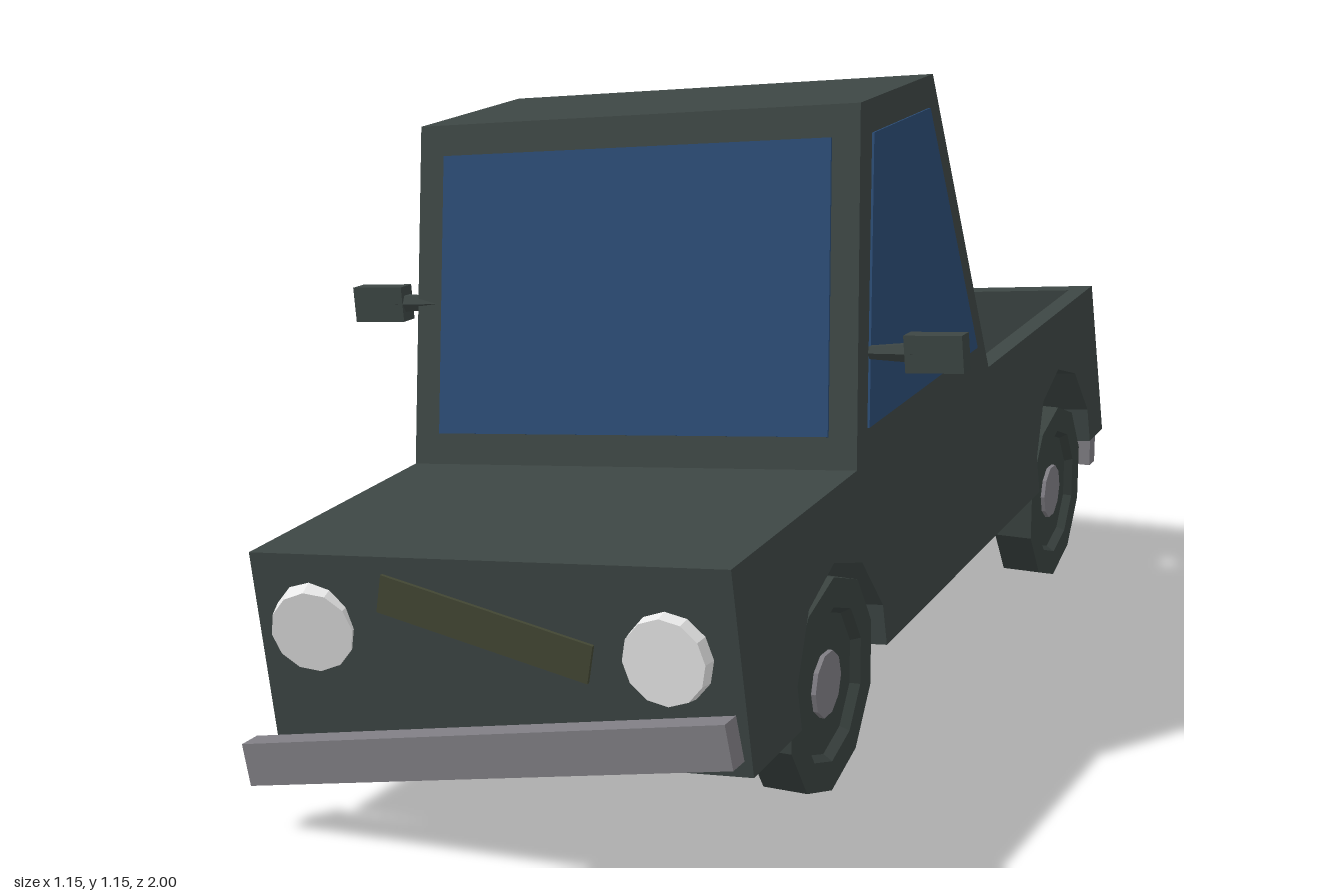
import * as THREE from 'three';

const mat = (name, color) => Object.assign(new THREE.MeshStandardMaterial({ color, flatShading: true }), { name });

export function createModel() {
  const paint = mat('dark green grey paint', 0x3c4543);
  const rubber = mat('tyre rubber', 0x39423f);
  const glass = mat('blue glass', 0x2a4a72);
  const metal = mat('bumper grey', 0x7f7d83);
  const lamp = mat('lamp white', 0xeeeeee);
  const olive = mat('olive trim', 0x434734);

  const truck = new THREE.Group();
  truck.name = 'pickupTruck';

  // The shell leans sideways and sags at the front
  const body = new THREE.Group();
  body.name = 'body';
  body.position.set(0.03, 0.225, -0.01);
  body.rotation.set(0.047, 0, 0.094);
  truck.add(body);

  const add = (parent, name, geo, material, pos = [0, 0, 0], rot = [0, 0, 0]) => {
    const mesh = new THREE.Mesh(geo, material);
    mesh.name = name;
    mesh.position.set(...pos);
    mesh.rotation.set(...rot);
    parent.add(mesh);
    return mesh;
  };

  // Side profile given as [z, y], extruded from x0 to x1
  const slab = (points, x0, x1) => {
    const shape = new THREE.Shape(points.map(p => new THREE.Vector2(...p)));
    const geo = new THREE.ExtrudeGeometry(shape, { depth: x1 - x0, bevelEnabled: false });
    return geo.rotateY(-Math.PI / 2).translate(x1, 0, 0);
  };

  // Faceted arch around a wheel, running from the rear to the front
  const arch = (z, r, ends, endY) => [
    [z - ends, endY],
    ...[162, 126, 90, 54, 18].map(a => a * Math.PI / 180)
      .map(a => [z + r * Math.cos(a), 0.01 + r * Math.sin(a)])
      .filter(p => p[1] > endY),
    [z + ends, endY],
  ];
  const REAR = -0.67, FRONT = 0.585;
  const wells = [...arch(REAR, 0.196, 0.187, 0), ...arch(FRONT, 0.196, 0.187, 0)];
  const cab = [[0.956, 0], [0.956, 0.32], [0.455, 0.32], [0.288, 0.895], [-0.067, 0.895], [-0.235, 0.32]];
  const tail = [[-0.956, 0.32], [-0.956, 0]];
  const bed = bump => [[-0.265, 0.32], [-0.265, 0.11], ...bump, [-0.915, 0.11], [-0.915, 0.32]];
  const housing = arch(REAR, 0.212, 0.187, 0.11).reverse();

  // Centre section, wheel housings and outer walls
  add(body, 'bodyCentre', slab([...cab, ...bed([]), ...tail], -0.32, 0.32), paint);
  for (const s of [-1, 1]) {
    const side = s > 0 ? 'left' : 'right';
    const span = (a, b) => (s > 0 ? [a, b] : [-b, -a]);
    add(body, side + 'WheelHousings', slab([...wells, ...cab, ...bed(housing), ...tail], ...span(0.32, 0.38)), paint);
    add(body, side + 'BodyWall', slab([...wells, ...cab, ...tail], ...span(0.38, 0.42)), paint);
    add(body, side + 'Window',
      slab([[0.393, 0.375], [0.25, 0.84], [-0.03, 0.84], [-0.172, 0.373]], ...span(0.418, 0.424)), glass);
  }

  // Windscreen lying on the sloped cab front
  add(body, 'windscreen', new THREE.BoxGeometry(0.74, 0.49, 0.008), glass, [0, 0.607, 0.372], [-0.2826, 0, 0]);

  // Lamps, one of them knocked askew, and the crooked grille
  const lampGeo = new THREE.CylinderGeometry(0.068, 0.075, 0.04, 12).rotateX(Math.PI / 2);
  add(body, 'leftHeadlight', lampGeo, lamp, [0.305, 0.18, 0.958]);
  add(body, 'rightHeadlight', lampGeo, lamp, [-0.313, 0.2, 0.955], [0.12, 0.2, 0]);
  add(body, 'grille', new THREE.BoxGeometry(0.37, 0.063, 0.02), olive, [-0.005, 0.213, 0.952], [0, 0, -0.27]);
  for (const s of [-1, 1]) {
    add(truck, 'tailLight', new THREE.BoxGeometry(0.14, 0.035, 0.03), olive, [s * 0.32, 0.442, -0.958]);
  }

  // Bumpers: the front one hangs down at one end
  add(truck, 'frontBumper', new THREE.BoxGeometry(0.86, 0.07, 0.04), metal, [0.01, 0.2, 0.98], [0, 0, 0.194]);
  add(truck, 'rearBumper', new THREE.BoxGeometry(0.84, 0.07, 0.04), metal, [0.003, 0.26, -0.98]);

  // Door mirrors
  for (const s of [-1, 1]) {
    const mirror = new THREE.Group();
    mirror.name = s > 0 ? 'leftMirror' : 'rightMirror';
    mirror.position.set(s * 0.523, 0.75, 0.38);
    mirror.rotation.z = 0.08;
    truck.add(mirror);
    add(mirror, 'mirrorHead', new THREE.BoxGeometry(0.1, 0.062, 0.035), paint);
    add(mirror, 'mirrorGlass', new THREE.BoxGeometry(0.088, 0.05, 0.006), glass, [0, 0, -0.017]);
    add(mirror, 'mirrorArm', new THREE.CylinderGeometry(0.018, 0.012, 0.08, 6), paint,
      [-s * 0.075, 0, 0], [0, 0, -s * Math.PI / 2]);
  }

  // Ten-sided wheels with recessed faces
  const profile = [[0, -0.022], [0.12, -0.022], [0.13, -0.0375], [0.18, -0.0375],
    [0.18, 0.0375], [0.13, 0.0375], [0.12, 0.022], [0, 0.022]];
  const tyreGeo = new THREE.LatheGeometry(profile.map(p => new THREE.Vector2(...p)), 10)
    .rotateY(Math.PI / 2).rotateZ(Math.PI / 2);
  const hubGeo = new THREE.CylinderGeometry(0.055, 0.055, 0.06, 10).rotateZ(Math.PI / 2);
  const wheel = (name, x, y, z, tilt = 0) => {
    const group = new THREE.Group();
    group.name = name;
    group.position.set(x, y, z);
    group.rotation.z = tilt;
    add(group, 'tyre', tyreGeo, rubber);
    add(group, 'hub', hubGeo, metal);
    truck.add(group);
  };
  wheel('frontLeftWheel', 0.393, 0.24, 0.59);
  wheel('rearLeftWheel', 0.393, 0.24, -0.67);
  wheel('rearRightWheel', -0.412, 0.24, -0.67);
  wheel('frontRightWheel', -0.41, 0.17, 0.59, 0.657);

  return truck;
}
